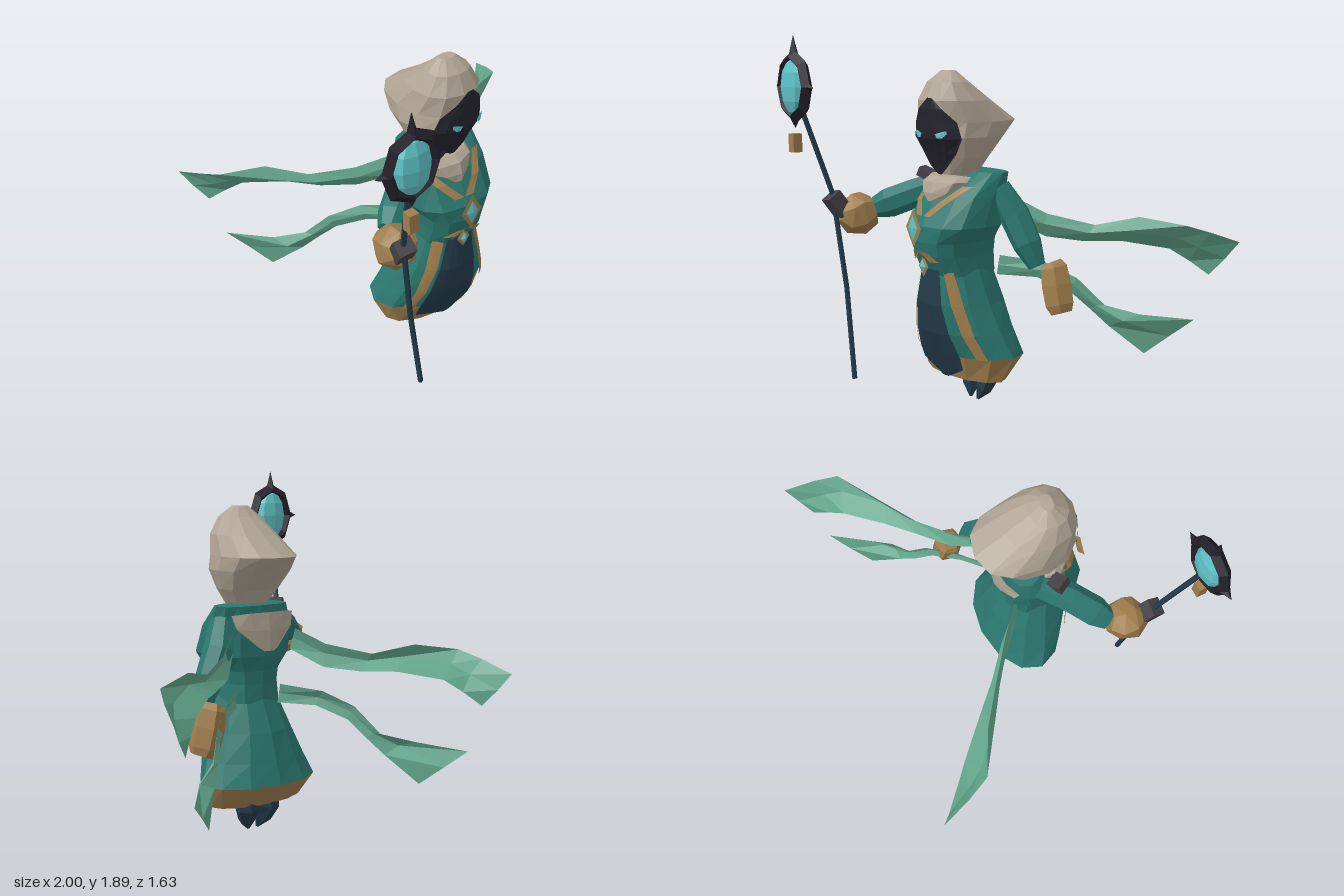
import * as THREE from 'three';

const mat = (name, color, side = THREE.FrontSide) => {
  const m = new THREE.MeshStandardMaterial({ color, side });
  m.name = name;
  return m;
};

// Flat-shaded geometry from a list of triangle corner points
function faceted(tris) {
  const g = new THREE.BufferGeometry();
  g.setAttribute('position', new THREE.Float32BufferAttribute(tris.flat(2), 3));
  g.computeVertexNormals();
  return g;
}
const flat = (g) => {
  const f = g.index ? g.toNonIndexed() : g;
  f.computeVertexNormals();
  return f;
};

// Closed rings joined into a capped solid
function loft(rings) {
  const tris = [], n = rings[0].length, last = rings[rings.length - 1];
  const mid = (r) => [0, 1, 2].map((k) => r.reduce((s, p) => s + p[k], 0) / n);
  const c0 = mid(rings[0]), c1 = mid(last);
  for (let j = 0; j < n; j++) {
    const k = (j + 1) % n;
    for (let i = 0; i < rings.length - 1; i++) {
      const a = rings[i], b = rings[i + 1];
      tris.push([a[j], b[j], a[k]], [a[k], b[j], b[k]]);
    }
    tris.push([c0, rings[0][j], rings[0][k]], [c1, last[k], last[j]]);
  }
  return faceted(tris);
}

// Horizontal body sections: rows of [y, cx, rx, cz, rz], p sets squareness
function body(rows, p = 2, n = 12) {
  const pow = (v) => Math.sign(v) * Math.abs(v) ** (2 / p);
  return loft(rows.map(([y, cx, rx, cz, rz]) => Array.from({ length: n }, (_, j) => {
    const a = (j / n) * Math.PI * 2;
    return [cx + rx * pow(Math.cos(a)), y, cz + rz * pow(Math.sin(a))];
  })));
}

// Limb along points of [x, y, z, radius]
function limb(pts, n = 7) {
  const v = pts.map((p) => new THREE.Vector3(...p));
  return loft(v.map((c, i) => {
    const t = v[Math.min(i + 1, v.length - 1)].clone().sub(v[Math.max(i - 1, 0)]).normalize();
    const u = new THREE.Vector3(0.3, 0, 1).cross(t).normalize();
    const w = u.clone().cross(t);
    return Array.from({ length: n }, (_, j) => {
      const a = (j / n) * Math.PI * 2;
      return c.clone().addScaledVector(u, Math.cos(a) * pts[i][3])
        .addScaledVector(w, Math.sin(a) * pts[i][3]).toArray();
    });
  }));
}

// Open grid of points
function sheet(rows) {
  const tris = [];
  for (let i = 0; i < rows.length - 1; i++) {
    for (let j = 0; j < rows[i].length - 1; j++) {
      const a = rows[i][j], b = rows[i + 1][j], c = rows[i][j + 1], d = rows[i + 1][j + 1];
      tris.push([a, b, c], [c, b, d]);
    }
  }
  return faceted(tris);
}

// Cloth or paint laid on the front of a body: spans of [y, x0, x1], top to bottom
function drape(rows, p, spans, lift = 0.01, cols = 5) {
  const frontZ = (x, y) => {
    let i = 0;
    while (i < rows.length - 2 && y > rows[i + 1][0]) i++;
    const t = THREE.MathUtils.clamp((y - rows[i][0]) / (rows[i + 1][0] - rows[i][0]), 0, 1);
    const [, cx, rx, cz, rz] = rows[i].map((v, k) => v + (rows[i + 1][k] - v) * t);
    const u = Math.min(Math.abs((x - cx) / rx), 1);
    return cz + rz * (1 - u ** p) ** (1 / p) + lift;
  };
  return sheet(spans.map(([y, x0, x1]) => Array.from({ length: cols + 1 }, (_, j) => {
    const x = x0 + ((x1 - x0) * j) / cols;
    return [x, y, frontZ(x, y)];
  })));
}

export function createModel() {
  const root = new THREE.Group();
  const teal = mat('teal cloth', 0x2b776f), linen = mat('pale linen', 0xb0a494);
  const gold = mat('dull gold', 0xa17e4d), navy = mat('navy cloth', 0x233b4b);
  const shade = mat('face shadow', 0x25242e), iron = mat('black iron', 0x231f2a);
  const cyan = mat('cyan crystal', 0x5fc3c7), grey = mat('dark leather', 0x454147);
  const sash = mat('sea green sash', 0x62a58d, THREE.DoubleSide);
  const add = (name, geo, m, pos = [0, 0, 0], scale = [1, 1, 1], rot = [0, 0, 0]) => {
    const mesh = new THREE.Mesh(geo, m);
    mesh.name = name;
    mesh.position.set(...pos);
    mesh.scale.set(...scale);
    mesh.rotation.set(...rot);
    root.add(mesh);
  };

  // Robe skirt with gold hem, front panel and trims
  const skirt = [[0.15, -0.03, 0.285, 0.105, 0.13], [0.28, -0.03, 0.34, 0.072, 0.215],
    [0.4, -0.025, 0.29, 0.112, 0.222], [0.55, -0.02, 0.23, 0.145, 0.215], [0.73, -0.01, 0.17, 0.175, 0.175]];
  add('skirt', body(skirt.slice(1)), teal);
  add('hem', body(skirt.slice(0, 2)), gold);
  add('frontPanel', drape(skirt, 2, [[0.73, -0.09, 0.06], [0.55, -0.135, 0.08], [0.4, -0.175, 0.105],
    [0.28, -0.21, 0.13], [0.21, -0.215, 0.125], [0.15, -0.04, 0]], 0.012), navy);
  add('rightTrim', drape(skirt, 2, [[0.74, -0.145, -0.1], [0.55, -0.195, -0.15], [0.4, -0.24, -0.195],
    [0.28, -0.295, -0.245]], 0.012, 2), gold);
  add('leftTrim', drape(skirt, 2, [[0.74, 0.075, 0.115], [0.55, 0.125, 0.17], [0.4, 0.17, 0.215],
    [0.28, 0.215, 0.26]], 0.012, 2), gold);

  // Jacket
  const torso = [[0.7, -0.01, 0.17, 0.17, 0.175], [0.8, -0.01, 0.165, 0.195, 0.2],
    [0.87, -0.01, 0.175, 0.2, 0.21], [0.95, -0.01, 0.235, 0.19, 0.215],
    [1.1, -0.008, 0.237, 0.14, 0.17], [1.215, 0.015, 0.21, 0.07, 0.09]];
  add('jacket', body(torso, 2.6), teal);
  for (const s of [-1, 1]) {
    const side = s < 0 ? 'right' : 'left';
    const band = (pts, w) => drape(torso, 2.6, pts.map(([y, d]) => [y, -0.02 + s * d - w, -0.02 + s * d + w]), 0.014, 2);
    add(side + 'Strap', band([[1.15, 0.17], [1.07, 0.1], [1, 0.03]], 0.026), gold);
    add(side + 'Belt', band([[0.825, 0.025], [0.775, 0.085]], 0.026), gold);
  }
  const diamond = flat(new THREE.OctahedronGeometry(1));
  add('chestSetting', diamond, gold, [-0.02, 0.945, 0.445], [0.062, 0.1, 0.008]);
  add('chestGem', diamond, cyan, [-0.02, 0.945, 0.45], [0.038, 0.065, 0.009]);
  add('beltSetting', diamond, gold, [-0.02, 0.745, 0.385], [0.04, 0.055, 0.012]);
  add('beltGem', diamond, cyan, [-0.02, 0.745, 0.392], [0.024, 0.036, 0.012]);

  // Cowl, back flap and shoulder clasp
  add('cowl', body([[1.07, -0.02, 0.05, 0.265, 0.085], [1.11, -0.03, 0.12, 0.22, 0.13],
    [1.165, -0.035, 0.165, 0.185, 0.145], [1.19, -0.035, 0.155, 0.165, 0.12]], 2, 9), linen);
  add('backFlap', sheet([[[0.18, 1.17, 0], [0.09, 1.18, -0.035], [-0.02, 1.18, -0.045], [-0.12, 1.18, -0.035], [-0.2, 1.17, 0]],
    [[0.16, 1.1, -0.02], [0.07, 1.09, -0.045], [-0.02, 1.09, -0.055], [-0.1, 1.09, -0.045], [-0.18, 1.1, -0.02]],
    [[0.04, 1.0, -0.045], [0.01, 0.98, -0.05], [-0.02, 0.98, -0.055], [-0.05, 0.98, -0.05], [-0.08, 1.0, -0.045]]]), linen);
  add('shoulderClasp', new THREE.BoxGeometry(0.08, 0.05, 0.08), grey, [-0.23, 1.18, 0.2], [1, 1, 1], [0, 0.5, -0.4]);

  // Hood, shadowed face and eyes
  const hood = [[1.2, -0.02, 0.1, 0.165, 0.1], [1.29, -0.025, 0.165, 0.155, 0.14],
    [1.39, -0.027, 0.203, 0.137, 0.217], [1.465, -0.023, 0.198, 0.1, 0.255],
    [1.57, -0.02, 0.165, 0.185, 0.178], [1.66, -0.02, 0.11, 0.225, 0.095], [1.715, -0.02, 0.045, 0.22, 0.03]];
  add('hood', body(hood, 2.35), linen);
  add('face', drape(hood, 2.35, [[1.585, 0, 0.03], [1.53, -0.07, 0.085], [1.465, -0.14, 0.135], [1.385, -0.17, 0.15],
    [1.31, -0.165, 0.11], [1.24, -0.105, 0.045], [1.2, -0.03, -0.005]], 0.014, 6), shade);
  for (const s of [-1, 1]) {
    const spans = [[1.425, 0.09, 0.1], [1.41, 0.045, 0.1], [1.39, 0.058, 0.08]].map(([y, a, b]) =>
      [y, 0.01 + (s < 0 ? -b : a), 0.01 + (s < 0 ? -a : b)]);
    add(s < 0 ? 'rightEye' : 'leftEye', drape(hood, 2.35, spans, 0.024, 2), cyan);
  }

  // Sleeves and gloves
  add('leftSleeve', limb([[0.19, 1.14, 0.07, 0.06], [0.25, 1.0, 0.015, 0.08], [0.32, 0.86, -0.01, 0.075], [0.365, 0.75, -0.035, 0.045]]), teal);
  add('leftGlove', limb([[0.375, 0.76, -0.125, 0.055], [0.385, 0.735, -0.13, 0.075], [0.405, 0.65, -0.13, 0.084],
    [0.43, 0.55, -0.13, 0.08], [0.445, 0.51, -0.13, 0.06]], 6), gold);
  add('rightSleeve', limb([[-0.18, 1.13, 0.12, 0.07], [-0.29, 1.075, 0.235, 0.078], [-0.4, 1.02, 0.325, 0.08], [-0.465, 0.99, 0.375, 0.055]]), teal);
  add('rightGlove', limb([[-0.455, 0.98, 0.385, 0.075], [-0.48, 0.965, 0.44, 0.112], [-0.505, 0.965, 0.51, 0.106], [-0.515, 0.975, 0.56, 0.05]], 6), gold);
  add('gripGuard', new THREE.BoxGeometry(0.09, 0.12, 0.08), grey, [-0.52, 1.02, 0.57], [1, 1, 1], [0.6, 0, 0.15]);

  // Pointed feet
  for (const s of [-1, 1]) {
    add(s < 0 ? 'rightFoot' : 'leftFoot', limb([[s * 0.028, 0, 0.075, 0.008], [s * 0.052, 0.06, 0.055, 0.047],
      [s * 0.065, 0.13, 0.03, 0.065], [s * 0.065, 0.19, 0.03, 0.06]], 6), navy);
  }

  // Bent staff with its ring, crystal, spikes and hanging tag
  add('staff', limb([[-0.41, 0.1, 0.555, 0.014], [-0.47, 0.58, 0.555, 0.014],
    [-0.53, 1.07, 0.59, 0.014], [-0.593, 1.54, 0.735, 0.014]], 6), navy);
  const hub = [-0.6, 1.63, 0.76];
  add('staffRing', flat(new THREE.TorusGeometry(0.122, 0.032, 4, 8)), iron, hub, [1, 1.22, 1]);
  add('staffCrystal', flat(new THREE.SphereGeometry(1, 8, 6)), cyan, hub, [0.102, 0.147, 0.055]);
  const spike = flat(new THREE.ConeGeometry(0.028, 1, 4));
  for (const [dx, dy, len] of [[0, 0.21, 0.1], [0.155, 0, 0.06], [-0.155, 0, 0.06], [0, -0.185, 0.05]]) {
    add('staffSpike', spike, iron, [hub[0] + dx, hub[1] + dy, hub[2]], [1, len, 1], [0, 0, Math.atan2(-dx, dy)]);
  }
  add('staffTag', new THREE.BoxGeometry(0.05, 0.095, 0.05), gold, [-0.605, 1.345, 0.76]);

  // Flowing sashes with a raised middle fold, mirrored on both sides
  const sashes = {
    UpperSash: [
      [[0.2, 1.08, -0.03], [0.2, 1.03, -0.01], [0.18, 0.97, -0.01]],
      [[0.32, 1.0, -0.14], [0.32, 0.95, -0.12], [0.3, 0.88, -0.15]],
      [[0.51, 0.95, -0.29], [0.5, 0.91, -0.26], [0.45, 0.86, -0.28]],
      [[0.69, 1.0, -0.42], [0.65, 0.93, -0.36], [0.58, 0.865, -0.41]],
      [[0.9, 0.97, -0.53], [0.84, 0.9, -0.54], [0.75, 0.83, -0.58]],
      [[0.95, 0.93, -0.65], [0.89, 0.85, -0.63], [0.82, 0.77, -0.65]],
      [[1, 0.87, -0.815], [0.95, 0.785, -0.77], [0.89, 0.7, -0.72]]],
    LowerSash: [
      [[0.14, 0.78, 0.02], [0.14, 0.73, 0.03], [0.13, 0.68, 0.03]],
      [[0.3, 0.75, -0.14], [0.3, 0.71, -0.11], [0.28, 0.67, -0.11]],
      [[0.43, 0.67, -0.25], [0.42, 0.64, -0.23], [0.4, 0.6, -0.23]],
      [[0.52, 0.53, -0.36], [0.5, 0.53, -0.32], [0.46, 0.51, -0.31]],
      [[0.66, 0.49, -0.47], [0.62, 0.46, -0.39], [0.53, 0.42, -0.38]],
      [[0.83, 0.46, -0.69], [0.74, 0.37, -0.61], [0.65, 0.275, -0.52]]],
  };
  for (const [name, rows] of Object.entries(sashes)) {
    for (const s of [-1, 1]) {
      const pts = rows.map((r) => r.map(([x, y, z]) => [s * x, y, z]));
      add((s < 0 ? 'right' : 'left') + name, sheet(pts), sash);
    }
  }
  return root;
}
